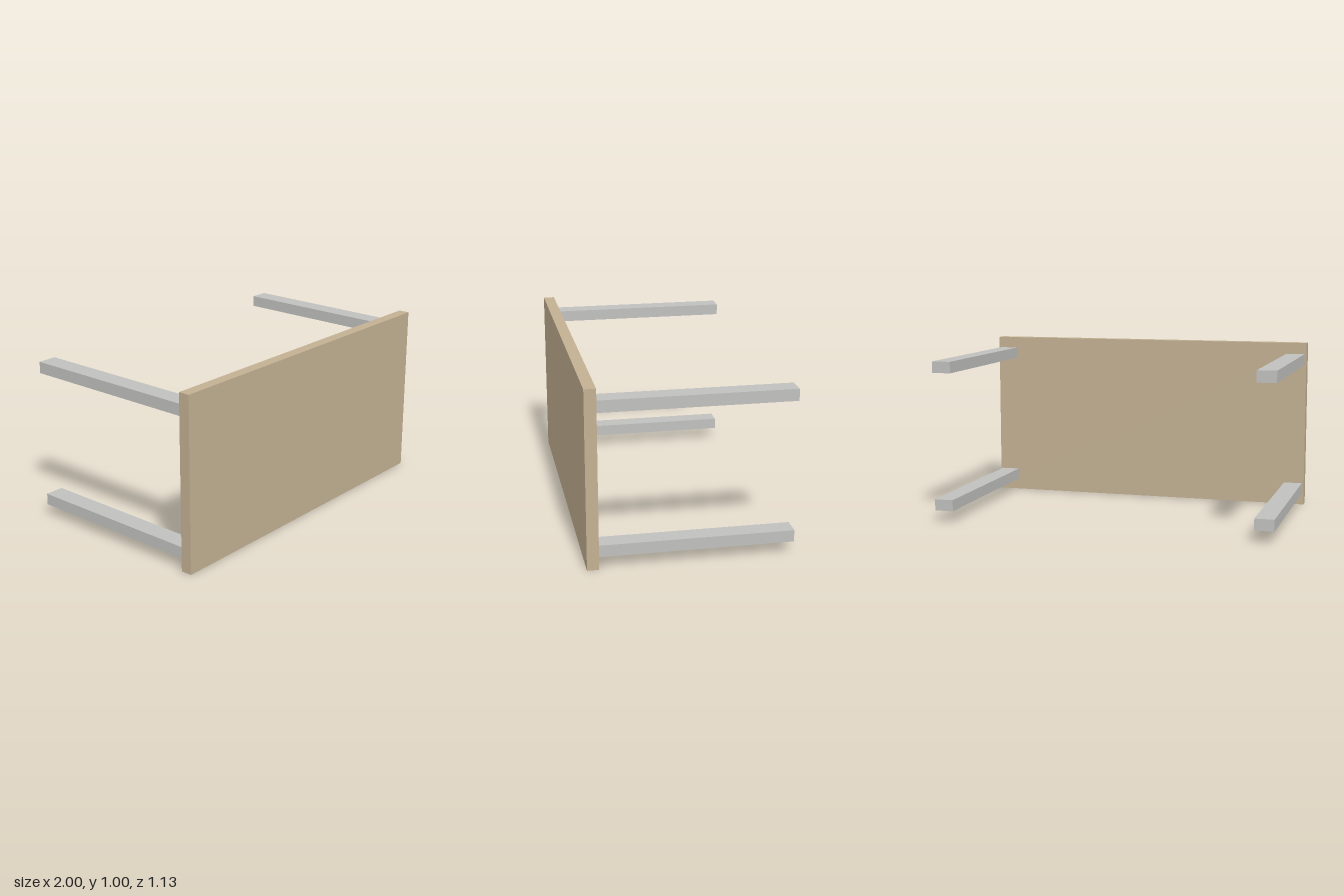
import * as THREE from 'three';

const wood = new THREE.MeshStandardMaterial({ name: 'wood', color: 0xc2b092 });
const metal = new THREE.MeshStandardMaterial({ name: 'metal', color: 0xc0c0be });

function addBox(group, name, size, position, material) {
  const mesh = new THREE.Mesh(new THREE.BoxGeometry(...size), material);
  mesh.name = name;
  mesh.position.set(...position);
  group.add(mesh);
}

export function createModel() {
  const table = new THREE.Group();
  table.name = 'table';

  // Table lying on its long edge, top facing the front
  addBox(table, 'tableTop', [2, 1, 0.065], [0, 0.5, 0.5325], wood);

  // Four legs reaching back from the corners
  for (const [side, sx] of [['Left', 1], ['Right', -1]]) {
    for (const [level, sy] of [['upper', 1], ['lower', -1]]) {
      addBox(table, `${level}${side}Leg`, [0.11, 0.066, 1.065],
        [sx * 0.933, 0.5 + sy * 0.4, -0.0325], metal);
    }
  }
  return table;
}
